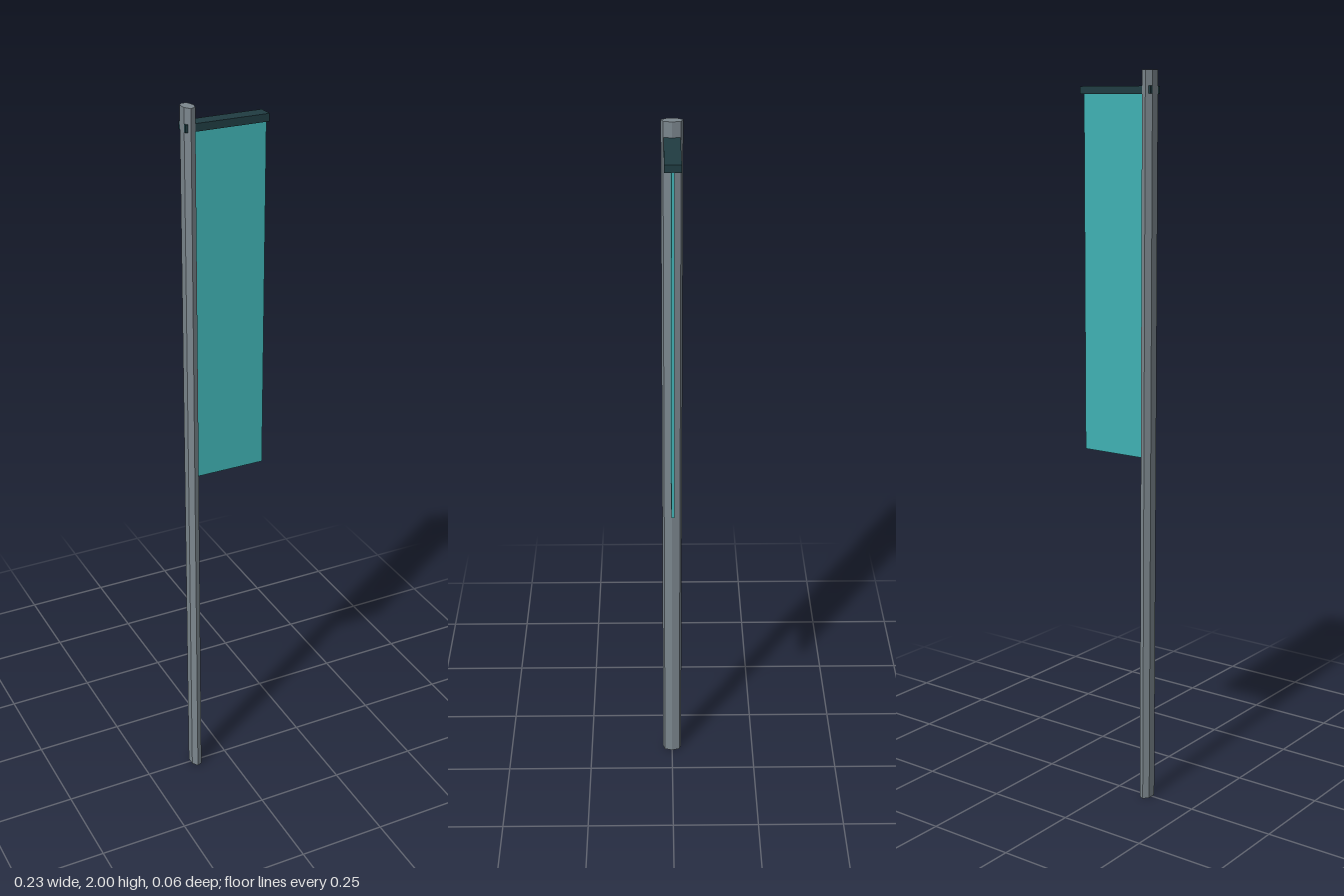
import * as THREE from 'three';

export function createModel() {
  const model = new THREE.Group();
  model.name = 'bannerPole';

  const material = (name, color) => {
    const m = new THREE.MeshStandardMaterial({ color, flatShading: true });
    m.name = name;
    return m;
  };
  const steel = material('greySteel', 0x7c878e);
  const dark = material('darkTeal', 0x203c42);
  const teal = material('tealCloth', 0x40b2b4);

  const add = (name, geometry, mat, x, y) => {
    const mesh = new THREE.Mesh(geometry, mat);
    mesh.name = name;
    mesh.position.set(x, y, 0);
    model.add(mesh);
  };

  // Seven-sided pole, flattened along x, one corner facing the banner
  const pole = new THREE.CylinderGeometry(1, 1, 2, 7, 1, false, Math.PI / 2);
  pole.scale(0.0168, 1, 0.0285);
  add('pole', pole, steel, -0.0985, 1);

  // Crossbar at the top of the banner
  add('crossbar', new THREE.BoxGeometry(0.227, 0.02, 0.042), dark, 0, 1.95);

  // Hanging banner
  add('banner', new THREE.BoxGeometry(0.227, 0.96, 0.008), teal, 0, 1.461);

  return model;
}
